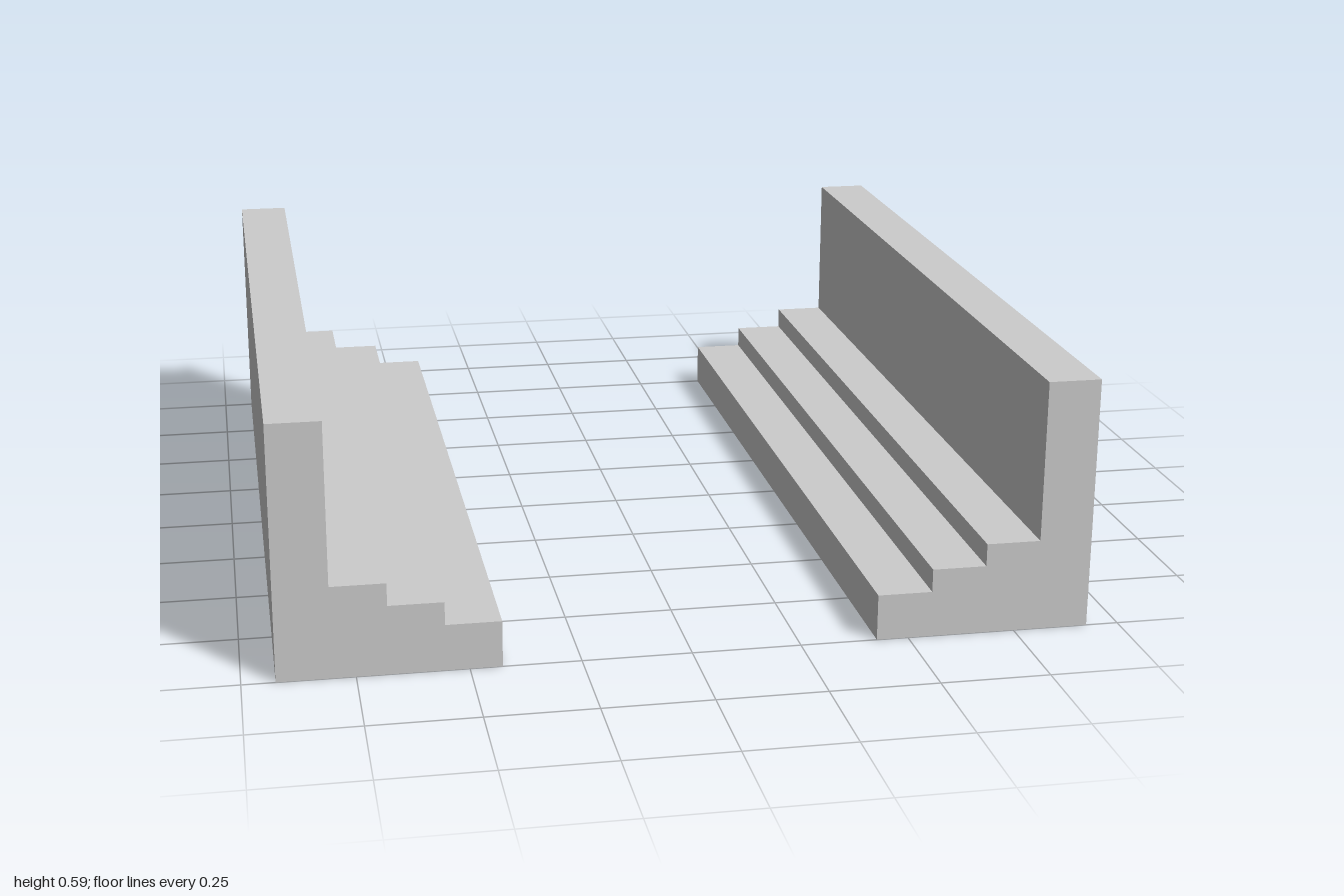
import * as THREE from 'three';

const LENGTH = 2;

// Cross-section of one stand: tall outer wall with three steps going down inwards
const PROFILE = [
  [0.427, 0], [0.925, 0], [0.925, 0.592], [0.803, 0.592],
  [0.803, 0.215], [0.678, 0.215], [0.678, 0.162],
  [0.553, 0.162], [0.553, 0.108], [0.427, 0.108],
];

function steppedStand(side, material) {
  const shape = new THREE.Shape(PROFILE.map(([x, y]) => new THREE.Vector2(side * x, y)));
  const geometry = new THREE.ExtrudeGeometry(shape, { depth: LENGTH, bevelEnabled: false });
  geometry.translate(0, 0, -LENGTH / 2);
  const mesh = new THREE.Mesh(geometry, material);
  mesh.name = side > 0 ? 'leftSteppedStand' : 'rightSteppedStand';
  return mesh;
}

export function createModel() {
  const group = new THREE.Group();
  group.name = 'steppedStands';
  const material = new THREE.MeshStandardMaterial({ color: 0xcccccc });
  // Two mirrored stands facing each other
  for (const side of [1, -1]) group.add(steppedStand(side, material));
  return group;
}
